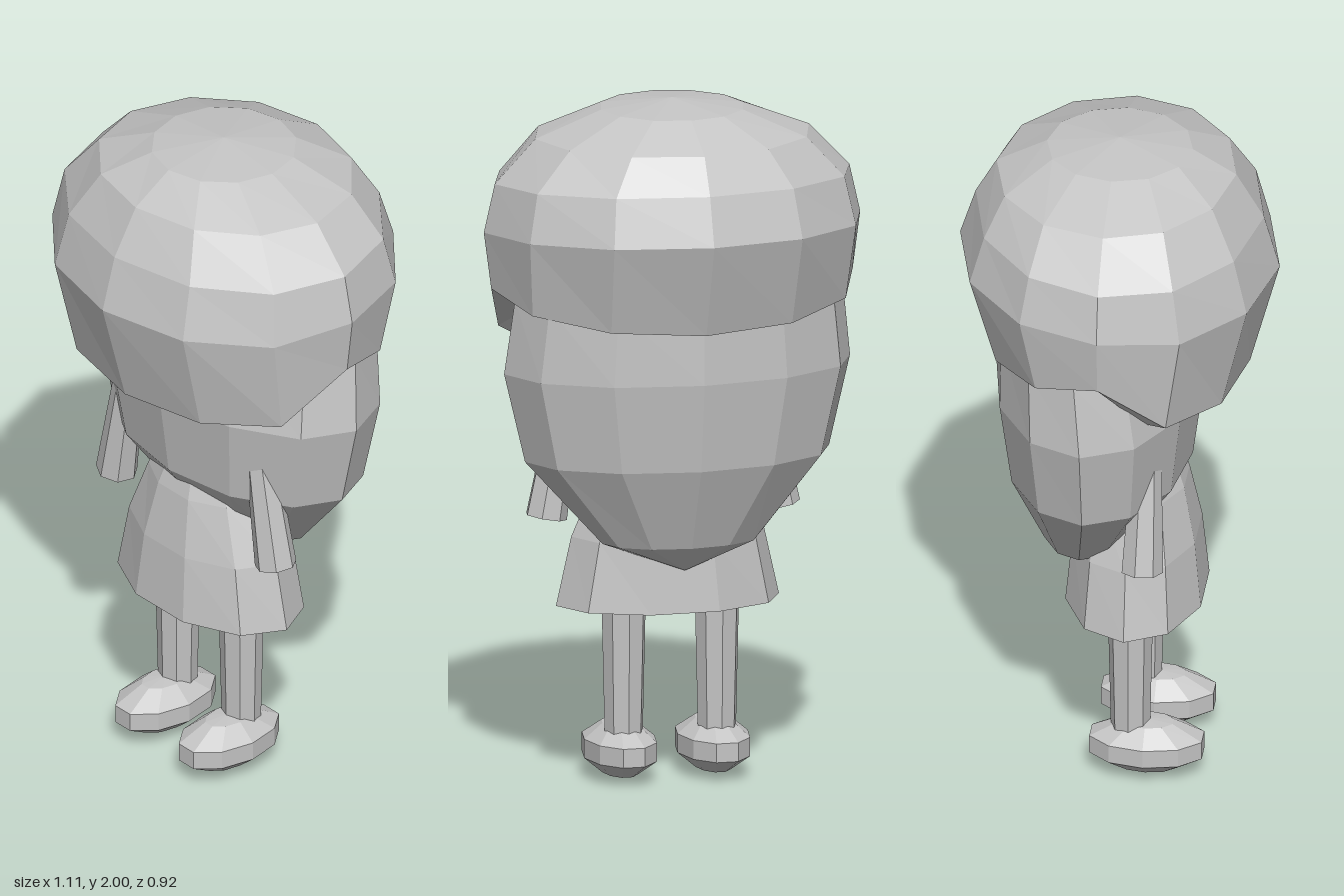
import * as THREE from 'three';

const grey = new THREE.MeshStandardMaterial({ color: 0xc4c4c4, flatShading: true });
grey.name = 'plain grey';

// Skins closed rings, listed from top to bottom; point(ring, angle) gives [x, y, z].
function loft(name, rings, sides, point) {
  const pos = [], idx = [];
  for (const r of rings) {
    for (let i = 0; i < sides; i++) pos.push(...point(r, (i / sides) * Math.PI * 2));
  }
  for (let k = 0; k < rings.length - 1; k++) {
    for (let i = 0; i < sides; i++) {
      const j = (i + 1) % sides;
      const a = k * sides + i, b = k * sides + j, c = a + sides, d = b + sides;
      idx.push(a, b, c, b, d, c);
    }
  }
  const g = new THREE.BufferGeometry();
  g.setAttribute('position', new THREE.Float32BufferAttribute(pos, 3));
  g.setIndex(idx);
  g.computeVertexNormals();
  const m = new THREE.Mesh(g, grey);
  m.name = name;
  return m;
}

// Ring: [y, half width, half depth, centre z]
const ellipse = ([y, rx, rz, cz], a) => [rx * Math.cos(a), y, cz + rz * Math.sin(a)];

// Tapered limb between two points
function limb(name, top, bottom, rTop, rBottom, sides) {
  const a = new THREE.Vector3(...top), b = new THREE.Vector3(...bottom);
  const m = new THREE.Mesh(new THREE.CylinderGeometry(rTop, rBottom, a.distanceTo(b), sides), grey);
  m.position.copy(a).add(b).multiplyScalar(0.5);
  m.quaternion.setFromUnitVectors(new THREE.Vector3(0, 1, 0), a.sub(b).normalize());
  m.name = name;
  return m;
}

export function createModel() {
  const model = new THREE.Group();
  model.name = 'bobHairedFigure';

  // Hair cap: fringe hangs low in front, rises at the sides, dips at the nape.
  // Ring: [side y, half width, half depth, front y offset, back y offset]
  const capRings = [
    [2.0, 0, 0, 0, 0],
    [1.975, 0.21, 0.21, 0, 0],
    [1.9, 0.405, 0.335, 0, 0],
    [1.775, 0.525, 0.415, -0.01, 0.02],
    [1.635, 0.557, 0.46, -0.03, 0.02],
    [1.47, 0.535, 0.375, -0.18, -0.09],
    [1.42, 0.4, 0.21, -0.19, 0.0],
    [1.4, 0, 0, 0, 0],
  ];
  model.add(loft('hairCap', capRings, 12, ([y, rx, rz, front, back], a) => {
    const s = Math.sin(a);
    const drop = s > 0 ? front * Math.pow(s, 0.25) : back * -s;
    const back1 = s < 0 && y === 1.9 ? 1.06 : 1;
    return [rx * Math.cos(a), y + drop, rz * s * back1];
  }));

  // Long hair below the cap
  model.add(loft('longHair', [
    [1.62, 0, 0, -0.08],
    [1.6, 0.36, 0.2, -0.08],
    [1.45, 0.485, 0.275, -0.075],
    [1.23, 0.512, 0.3, -0.055],
    [0.97, 0.45, 0.265, -0.055],
    [0.725, 0.23, 0.13, -0.09],
    [0.645, 0, 0, -0.14],
  ], 12, ellipse));

  // Dress, closed at the hem
  model.add(loft('dress', [
    [1.05, 0, 0, 0.05],
    [1.03, 0.13, 0.1, 0.05],
    [0.89, 0.21, 0.15, 0.05],
    [0.72, 0.285, 0.185, 0.05],
    [0.52, 0.33, 0.205, 0.05],
    [0.52, 0, 0, 0.05],
  ], 10, ellipse));

  for (const [side, s] of [['left', 1], ['right', -1]]) {
    model.add(limb(side + 'Arm', [s * 0.285, 1.11, 0.11], [s * 0.345, 0.77, 0.105], 0.045, 0.061, 7));
    const x = s * 0.138 - 0.008;
    model.add(limb(side + 'Leg', [x, 0.6, 0.048], [x, 0.12, 0.048], 0.067, 0.056, 8));

    // Rounded shoe
    const shoe = loft(side + 'Shoe', [
      [0.166, 0, 0, 0.09],
      [0.16, 0.05, 0.08, 0.095],
      [0.115, 0.104, 0.17, 0.095],
      [0.06, 0.104, 0.17, 0.095],
      [0.015, 0.05, 0.09, 0.095],
      [0, 0, 0, 0.095],
    ], 10, ellipse);
    shoe.position.x = x;
    model.add(shoe);
  }
  return model;
}
